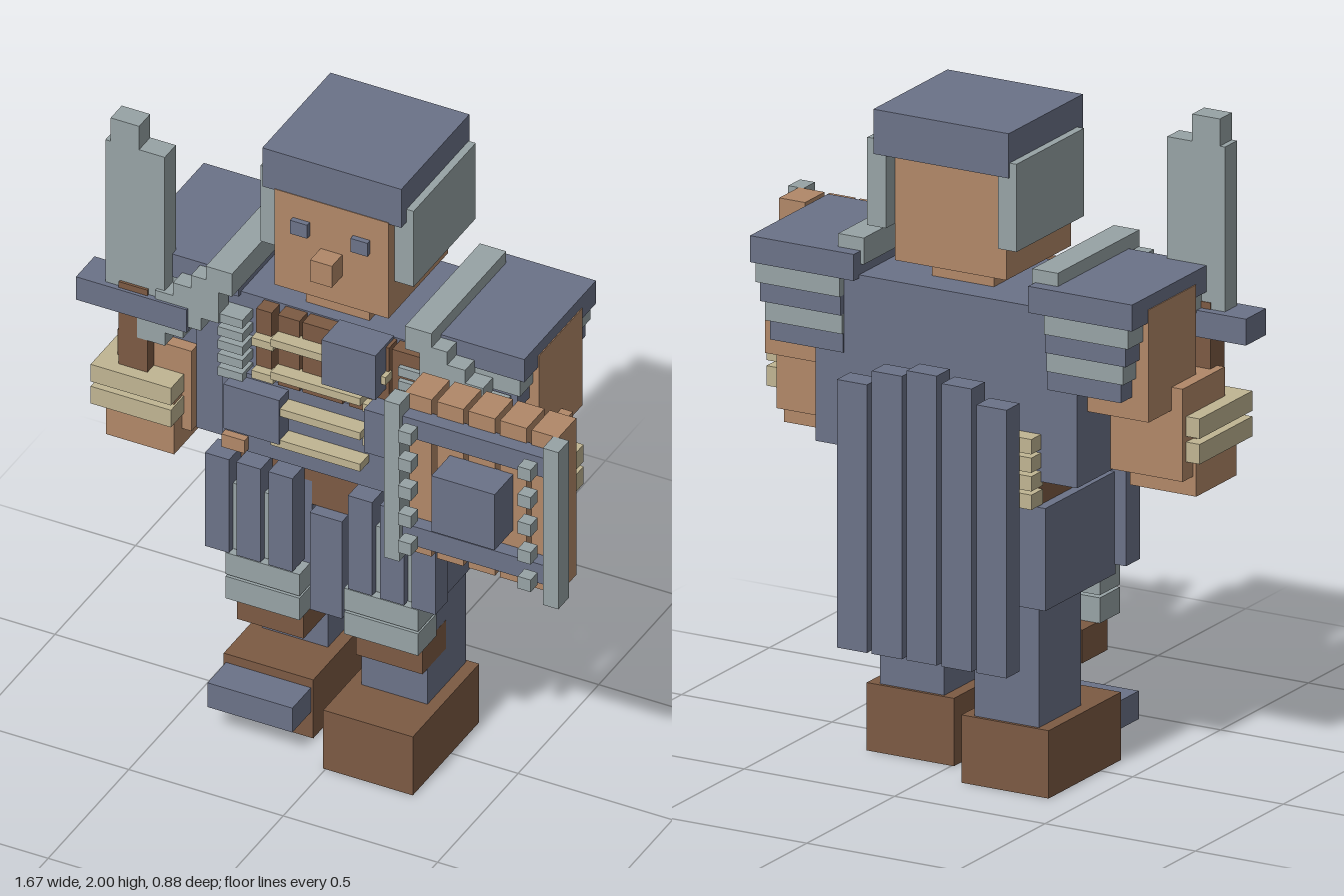
import * as THREE from 'three';

function material(name, color) {
  const m = new THREE.MeshStandardMaterial({ color });
  m.name = name;
  return m;
}

export function createModel() {
  const model = new THREE.Group();
  model.name = 'shieldFighter';
  const slate = material('slate', 0x6b7288);
  const steel = material('steel', 0x97a3a5);
  const skin = material('skin', 0xb18868);
  const leather = material('leather', 0x7c5a43);
  const tan = material('tan', 0xc0b592);

  const MID = -0.055; // the body's own mirror plane

  function group(name) {
    const g = new THREE.Group();
    g.name = name;
    model.add(g);
    return g;
  }
  // Box given by its limits on each axis
  function box(parent, name, mat, x0, x1, y0, y1, z0, z1) {
    const mesh = new THREE.Mesh(new THREE.BoxGeometry(x1 - x0, y1 - y0, z1 - z0), mat);
    mesh.position.set((x0 + x1) / 2, (y0 + y1) / 2, (z0 + z1) / 2);
    mesh.name = name;
    parent.add(mesh);
  }
  // Two mirrored boxes; a and b are distances from the body's mirror plane
  function pair(parent, name, mat, a, b, y0, y1, z0, z1) {
    box(parent, name + 'Left', mat, MID + a, MID + b, y0, y1, z0, z1);
    box(parent, name + 'Right', mat, MID - b, MID - a, y0, y1, z0, z1);
  }

  // Head and helmet
  const head = group('head');
  box(head, 'face', skin, -0.24, 0.13, 1.535, 1.87, -0.275, 0.095);
  box(head, 'neck', skin, -0.155, 0.05, 1.47, 1.54, -0.2, 0.06);
  box(head, 'nose', skin, -0.09, -0.02, 1.635, 1.71, 0.09, 0.16);
  pair(head, 'eye', slate, 0.07, 0.125, 1.743, 1.79, 0.09, 0.112);
  box(head, 'helmetCap', slate, -0.28, 0.17, 1.865, 2, -0.33, 0.093);
  pair(head, 'helmetCheek', steel, 0.186, 0.248, 1.645, 1.91, -0.325, 0.06);

  // Torso with leather chest and patches
  const torso = group('torso');
  box(torso, 'coat', slate, -0.49, 0.38, 0.955, 1.48, -0.3, 0.1);
  box(torso, 'hips', leather, -0.36, 0.25, 0.8, 0.96, -0.29, 0.09);
  for (const [x0, x1] of [[-0.27, -0.22], [-0.2, -0.13], [-0.12, 0.01], [0.03, 0.16], [0.17, 0.26]])
    box(torso, 'chestStrip', leather, x0, x1, 1.23, 1.475, 0.1, 0.15);
  box(torso, 'coatFront', slate, -0.385, 0.275, 0.957, 1.23, 0.1, 0.14);
  for (const y of [1.405, 1.29, 1.17, 1.06]) {
    box(torso, 'cord', tan, -0.2, y > 1.4 ? -0.03 : 0.09, y - 0.013, y + 0.013, 0.14, 0.195);
    if (y > 1.1) {
      box(torso, 'cordEndRight', tan, -0.27, -0.2, y - 0.04, y - 0.013, 0.14, 0.18);
      box(torso, 'cordEndLeft', tan, 0.09, 0.165, y - 0.04, y - 0.013, 0.14, 0.18);
    }
  }
  box(torso, 'patchTop', slate, -0.025, 0.15, 1.33, 1.485, 0.1, 0.215);
  box(torso, 'patchRight', slate, -0.35, -0.17, 1.06, 1.215, 0.1, 0.2);
  box(torso, 'patchLeft', slate, 0.115, 0.285, 1.14, 1.29, 0.1, 0.22);
  for (let i = 0; i < 5; i++)
    pair(torso, 'clasp', steel, 0.252, 0.332, 1.212 + i * 0.047, 1.242 + i * 0.047, 0.1, 0.165);
  pair(torso, 'beltLoop', skin, 0.245, 0.32, 0.965, 1.01, 0.1, 0.165);
  for (let i = 0; i < 4; i++)
    pair(torso, 'backCord', tan, 0.1, 0.315, 0.885 + i * 0.056, 0.93 + i * 0.056, -0.355, -0.29);

  // Cape of hanging slats
  const cape = group('cape');
  for (let i = -2; i <= 2; i++) {
    const x = MID + i * 0.116;
    const top = [1.27, 1.25, 1.205][Math.abs(i)];
    box(cape, 'capeSlat', slate, x - 0.05, x + 0.05, 0.395, top, -0.44, -0.365);
  }

  // Shoulder pads: slab, inward-stepping layers, strap and stepped trim
  const shoulders = group('shoulders');
  pair(shoulders, 'shoulderSlab', slate, 0.29, 0.635, 1.47, 1.55, -0.33, 0.115);
  for (let i = 0; i < 4; i++) {
    const inset = 0.006 + 0.012 * i;
    const y = 1.47 - i * 0.058;
    pair(shoulders, 'shoulderLayer', i % 2 ? slate : steel,
      0.34, 0.625 - inset, y - 0.058, y, -0.33 + inset * 0.6, 0.115 - inset * 0.6);
  }
  pair(shoulders, 'shoulderStrap', steel, 0.28, 0.365, 1.51, 1.59, -0.29, 0.175);
  for (let i = 0; i < 4; i++) {
    const a = 0.325 + i * 0.058;
    pair(shoulders, 'shoulderTrim', steel, a, a + 0.09, 1.4 - i * 0.045, 1.54 - i * 0.045, 0.11, 0.172);
  }

  // Arms
  const arms = group('arms');
  pair(arms, 'upperArm', skin, 0.39, 0.638, 1.17, 1.51, -0.24, 0.03);
  pair(arms, 'forearm', skin, 0.435, 0.675, 0.96, 1.24, -0.11, 0.13);
  pair(arms, 'hand', skin, 0.465, 0.685, 0.9, 1.14, -0.05, 0.18);
  pair(arms, 'cuffUpper', tan, 0.46, 0.72, 1.092, 1.152, -0.09, 0.21);
  pair(arms, 'cuffLower', tan, 0.46, 0.72, 1.015, 1.075, -0.09, 0.21);

  // Legs; the right one is set further back
  const legs = group('legs');
  pair(legs, 'thigh', slate, 0.065, 0.335, 0.57, 0.88, -0.31, 0.09);
  pair(legs, 'kneeWrap', leather, 0.085, 0.3, 0.33, 0.43, -0.04, 0.105);
  pair(legs, 'kneePlateUpper', steel, 0.072, 0.312, 0.515, 0.59, 0.04, 0.155);
  pair(legs, 'kneePlateLower', steel, 0.072, 0.312, 0.43, 0.507, 0.04, 0.155);
  for (const [side, x, back] of [['Left', MID + 0.1925, 0], ['Right', MID - 0.1925, 0.12]]) {
    box(legs, 'shin' + side, slate, x - 0.107, x + 0.107, 0.2, 0.575, -0.165 - back, 0.073 - back);
    box(legs, 'boot' + side, leather, x - 0.145, x + 0.145, 0, 0.205, -0.175 - back, 0.237 - back);
  }
  box(legs, 'bootPlate', slate, -0.385, -0.11, 0.09, 0.175, 0.11, 0.232);

  // Skirt slats
  const skirt = group('skirt');
  for (const a of [0.09, 0.193, 0.295])
    pair(skirt, 'skirtSlat', slate, a, a + 0.078, 0.6, 0.927, 0.085, 0.165);
  for (const a of [0.165, 0.268])
    pair(skirt, 'skirtFiller', steel, a, a + 0.03, 0.6, 0.83, 0.085, 0.14);
  box(skirt, 'middleSlat', slate, -0.107, -0.003, 0.46, 0.8, 0.03, 0.13);

  // Shield on the left arm
  const shield = group('shield');
  for (let i = 0; i < 5; i++) {
    const x = 0.345 + i * 0.1025;
    box(shield, 'plank', skin, x - 0.043, x + 0.043, 0.925, 1.475, 0.21, 0.322);
    const y = 1.01 + i * 0.0965;
    for (const sx of [0.355, 0.743])
      box(shield, 'stud', steel, sx - 0.021, sx + 0.021, y - 0.021, y + 0.021, 0.385, 0.428);
  }
  box(shield, 'railInner', steel, 0.268, 0.317, 0.925, 1.475, 0.32, 0.387);
  box(shield, 'railOuter', steel, 0.782, 0.832, 0.925, 1.475, 0.32, 0.387);
  box(shield, 'barUpper', slate, 0.317, 0.782, 1.355, 1.423, 0.315, 0.366);
  box(shield, 'barLower', slate, 0.317, 0.782, 0.98, 1.047, 0.315, 0.366);
  box(shield, 'boss', slate, 0.447, 0.652, 1.105, 1.3, 0.32, 0.437);

  // Sword in the right hand
  const sword = group('sword');
  box(sword, 'blade', steel, -0.752, -0.56, 1.41, 1.918, 0.093, 0.162);
  box(sword, 'bladeTip', steel, -0.735, -0.643, 1.918, 2, 0.093, 0.162);
  box(sword, 'guard', slate, -0.838, -0.48, 1.34, 1.42, 0.065, 0.18);
  box(sword, 'grip', leather, -0.705, -0.612, 1.1, 1.44, 0.09, 0.17);

  return model;
}
